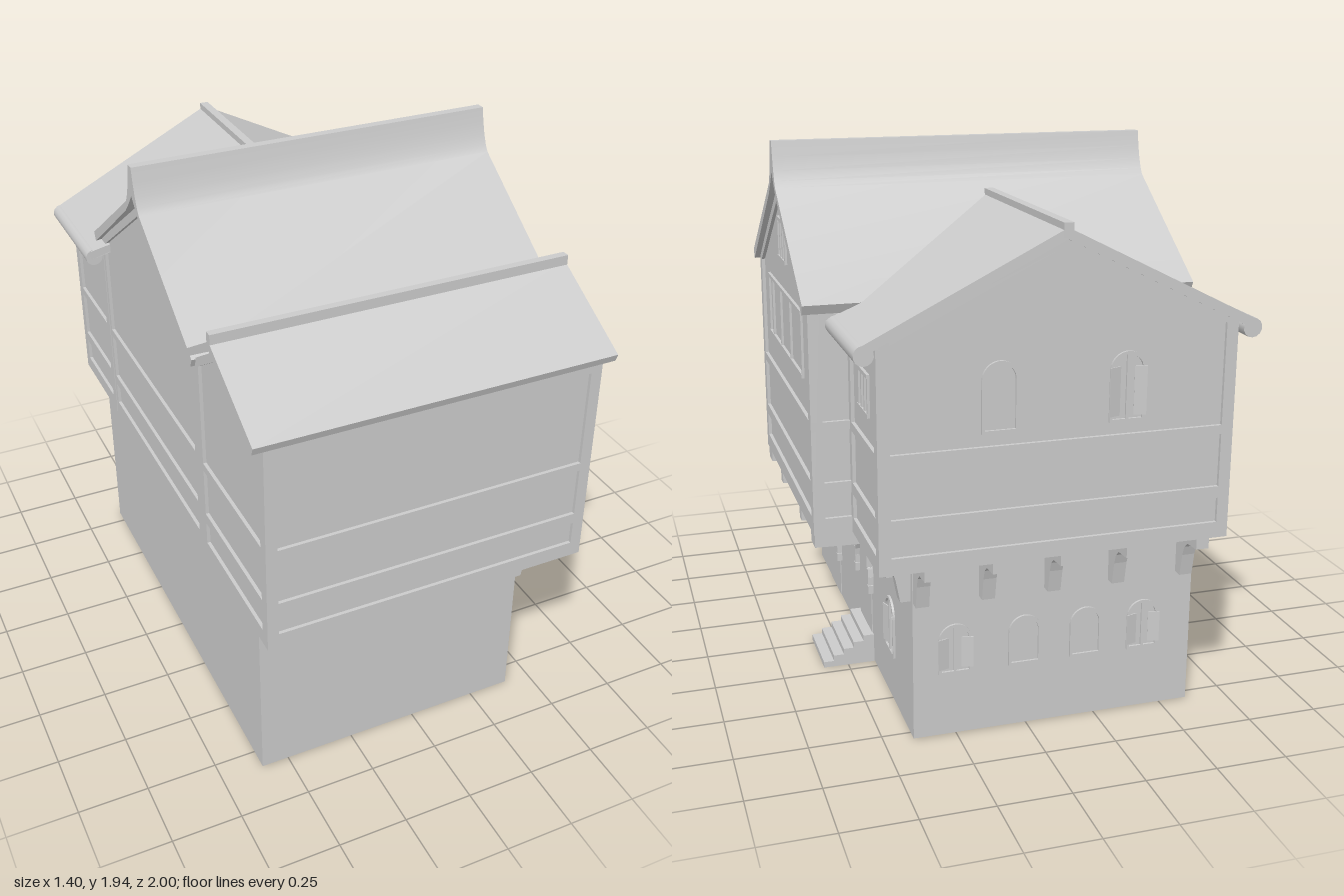
import * as THREE from 'three';
import { toCreasedNormals } from 'three/addons/utils/BufferGeometryUtils.js';

const mat = new THREE.MeshStandardMaterial({ color: 0xcccccc });
const openMat = new THREE.MeshStandardMaterial({ color: 0xcccccc, side: THREE.DoubleSide });

function add(parent, name, geo, material = mat) {
  const m = new THREE.Mesh(geo, material);
  m.name = name;
  parent.add(m);
  return m;
}

function group(parent, name) {
  const g = new THREE.Group();
  g.name = name;
  parent.add(g);
  return g;
}

// box given by its limits
function box(parent, name, x0, x1, y0, y1, z0, z1) {
  const m = add(parent, name, new THREE.BoxGeometry(x1 - x0, y1 - y0, z1 - z0));
  m.position.set((x0 + x1) / 2, (y0 + y1) / 2, (z0 + z1) / 2);
  return m;
}

// outline extruded from a to b; along 'x' its points are (z, y), along 'z' they are (x, y)
function prism(axis, pts, a, b) {
  const s = new THREE.Shape(pts.map(([u, y]) => new THREE.Vector2(axis === 'x' ? -u : u, y)));
  const g = new THREE.ExtrudeGeometry(s, { depth: b - a, bevelEnabled: false });
  g.translate(0, 0, a);
  if (axis === 'x') g.rotateY(Math.PI / 2);
  return g;
}

// mirrored roof section: upper and lower lines as [distance from ridge, y], eave to ridge
function roofSection(c, upper, lower) {
  const mir = (l, s) => l.map(([d, y]) => [c + s * d, y]);
  return [...mir(upper, 1), ...mir(upper, -1).reverse(), ...mir(lower, -1), ...mir(lower, 1).reverse()];
}

// timber-framed storey with gable ends
function storey(parent, name, axis, [x0, x1, z0, z1], eave, peak, mid) {
  const g = group(parent, name);
  const t = 0.012, p = 0.04;
  const [u0, u1, a, b] = axis === 'x' ? [z0, z1, x0, x1] : [x0, x1, z0, z1];
  const y0 = 0.7;
  add(g, 'wallInfill', prism(axis, [[u0 + t, y0], [u1 - t, y0], [u1 - t, eave], [mid, peak], [u0 + t, eave]], a + t, b - t));
  for (const [r0, r1] of [[0.69, 0.745], [0.83, 0.87], [1.05, 1.08]]) box(g, 'rail', x0, x1, r0, r1, z0, z1);
  for (const x of [x0, x1 - p]) for (const z of [z0, z1 - p]) box(g, 'cornerPost', x, x + p, 0.69, eave, z, z + p);
  const w = 0.035;
  add(g, 'gableRafters', prism(axis, [[u0, eave - w], [mid, peak - w], [u1, eave - w], [u1, eave], [mid, peak], [u0, eave]], a, b));
}

// framed window; bars are fractions of the width
function paneWindow(parent, w, h, bars) {
  const g = group(parent, 'window');
  const f = 0.013, d = 0.008;
  box(g, 'sill', -w / 2, w / 2, -h / 2, -h / 2 + f, -0.02, d);
  box(g, 'head', -w / 2, w / 2, h / 2 - f, h / 2, -0.02, d);
  for (const k of [0, ...bars, 1]) {
    const x = (k - 0.5) * (w - f);
    box(g, 'bar', x - f / 2, x + f / 2, -h / 2, h / 2, -0.02, d - 0.002);
  }
  return g;
}

function archShape(w, h) {
  const s = new THREE.Shape();
  s.moveTo(-w / 2, 0);
  s.lineTo(w / 2, 0);
  s.absarc(0, h - w / 2, w / 2, 0, Math.PI);
  s.closePath();
  return s;
}

function archPanel(w, h, depth) {
  return new THREE.ExtrudeGeometry(archShape(w, h), { depth, bevelEnabled: false, curveSegments: 10 });
}

// round-headed window, with a central bar and leaves ajar when shuttered
function archWindow(parent, w, h, shuttered) {
  const g = group(parent, 'archedWindow');
  const s = archShape(w, h);
  s.holes.push(new THREE.Path(archShape(w - 0.02, h - 0.02).getPoints(10).map(p => p.setY(p.y + 0.01))));
  add(g, 'windowFrame', new THREE.ExtrudeGeometry(s, { depth: 0.01, bevelEnabled: false, curveSegments: 10 }));
  if (shuttered) {
    box(g, 'meetingBar', -0.005, 0.005, 0.01, h - 0.01, 0, 0.009);
    for (const side of [-1, 1]) {
      const leaf = box(g, 'shutter', -0.02, 0.02, 0.02, h - 0.05, -0.002, 0.002);
      leaf.position.x = side * w * 0.36;
      leaf.position.z = 0.008;
      leaf.rotation.y = side * -0.3;
    }
  }
  return g;
}

// door with a ring of stones around its head; local z is outward
function stoneDoor(parent, doorH, springY, jambY, r) {
  const g = group(parent, 'archedDoor');
  add(g, 'doorLeaf', archPanel(2 * r - 0.03, doorH, 0.003)).position.y = springY + r - 0.015 - doorH;
  const n = 11;
  for (let i = 0; i < n; i++) {
    const a = Math.PI * (i + 0.5) / n;
    const m = add(g, 'archStone', new THREE.BoxGeometry(0.024, Math.PI * r / n * 0.93, 0.04));
    m.position.set(Math.cos(a) * r, springY + Math.sin(a) * r, 0);
    m.rotation.z = a;
  }
  for (const s of [-1, 1]) for (let y = jambY; y < springY - 0.01; y += 0.035)
    box(g, 'jambStone', s * r - 0.012, s * r + 0.012, y, y + 0.032, -0.02, 0.02);
  return g;
}

// curved corbel reaching outward along local z
function bracket(parent, w, reach) {
  const pts = [[0, 0.5], [0.035, 0.5], [0.05, 0.58], [0.062, 0.615], [0.085, 0.635], [reach, 0.64], [reach, 0.695], [0, 0.695]];
  return add(parent, 'bracket', prism('x', pts, -w / 2, w / 2));
}

const onRight = (o, x, y, z) => { o.position.set(x, y, z); o.rotation.y = Math.PI / 2; };
const onBack = (o, x, y, z) => { o.position.set(x, y, z); o.rotation.y = Math.PI; };

export function createModel() {
  const house = new THREE.Group();
  house.name = 'house';

  // ground floor: four walls, open below and above
  const walls = new THREE.BoxGeometry(1.0, 0.69, 1.63);
  const idx = Array.from(walls.index.array);
  walls.setIndex([...idx.slice(0, 12), ...idx.slice(24)]);
  add(house, 'groundFloorWalls', walls, openMat).position.set(-0.1, 0.35, 0.015);

  // jettied upper storeys
  storey(house, 'frontStorey', 'x', [-0.63, 0.55, 0.41, 0.98], 1.465, 1.635, 0.67);
  storey(house, 'mainStorey', 'x', [-0.628, 0.68, -0.59, 0.41], 1.455, 1.79, -0.09);
  storey(house, 'backStorey', 'z', [-0.63, 0.55, -0.98, -0.57], 1.435, 1.725, -0.04);

  // roofs
  const frontRoof = roofSection(0.67, [[0.33, 1.49], [0, 1.672]], [[0.32, 1.463], [0, 1.638]]);
  frontRoof.forEach(p => { p[0] = Math.max(p[0], 0.385); });
  add(house, 'frontRoof', prism('x', frontRoof, -0.67, 0.59));
  box(house, 'frontRidge', -0.67, 0.59, 1.64, 1.7, 0.655, 0.682);

  const mainRoof = roofSection(-0.09,
    [[0.525, 1.475], [0.068, 1.785], [0.054, 1.807], [0.04, 1.84], [0.027, 1.885], [0.016, 1.938]],
    [[0.51, 1.443], [0.08, 1.745], [0.035, 1.79], [0.001, 1.83]]);
  add(house, 'mainRoof', toCreasedNormals(prism('x', mainRoof, -0.645, 0.7), 0.5));

  const backRoof = prism('z', roofSection(-0.04, [[0.65, 1.425], [0, 1.75]], [[0.64, 1.395], [0, 1.715]]), -1, 0);
  const pos = backRoof.attributes.position;
  for (let i = 0; i < pos.count; i++) // inner end tapers into the main roof
    if (pos.getZ(i) > -0.5) pos.setZ(i, -0.21 - 0.34 * Math.min(1, Math.abs(pos.getX(i) + 0.04) / 0.64));
  backRoof.computeVertexNormals();
  add(house, 'backRoof', backRoof);
  box(house, 'backRidge', -0.058, -0.026, 1.72, 1.765, -1, -0.21);
  for (const x of [-0.67, 0.59]) {
    const roll = add(house, 'eaveRoll', new THREE.CylinderGeometry(0.032, 0.032, 0.45, 14));
    roll.rotation.x = Math.PI / 2;
    roll.position.set(x, 1.402, -0.775);
  }

  // timber windows: [wall x, y, z, width, height, bars]
  const third = [1 / 3, 2 / 3];
  for (const [x, y, z, w, h, bars] of [
    [0.54, 1.285, 0.71, 0.28, 0.29, third],
    [0.67, 1.305, -0.095, 0.68, 0.23, [0.12, 0.38, 0.675]],
    [0.67, 1.595, -0.085, 0.15, 0.15, third],
    [0.54, 1.23, -0.77, 0.14, 0.14, third],
  ]) onRight(paneWindow(house, w, h, bars), x, y, z);

  // round-headed windows
  onRight(archWindow(house, 0.125, 0.21, true), 0.398, 0.18, -0.49);
  [0.255, 0.01, -0.21, -0.42].forEach((x, i) =>
    onBack(archWindow(house, 0.115, 0.18, i % 3 === 0), x, 0.23, -0.798));
  onBack(archWindow(house, 0.12, 0.23, false), 0.16, 1.12, -0.966);
  onBack(archWindow(house, 0.12, 0.23, true), -0.26, 1.12, -0.966);

  // doors and steps
  onRight(stoneDoor(house, 0.33, 0.24, 0.17, 0.112), 0.4, 0, 0.49);
  onRight(stoneDoor(house, 0.34, 0.345, 0.28, 0.112), 0.4, 0, -0.095);
  const steps = group(house, 'steps');
  for (let i = 0; i < 5; i++)
    box(steps, 'step', 0.4, 0.44 + i * 0.038, Math.max(0, 0.088 - i * 0.022), 0.11 - i * 0.022, -0.21, 0.03);

  // brackets under the overhangs: [z, width, reach]
  for (const [z, w, reach] of [[0.79, 0.045, 0.145], [0.375, 0.07, 0.275], [0.1, 0.045, 0.275],
    [-0.3, 0.04, 0.275], [-0.54, 0.07, 0.275], [-0.755, 0.045, 0.145]])
    onRight(bracket(house, w, reach), 0.4, 0, z);
  for (const x of [0.375, 0.15, -0.08, -0.31, -0.56]) onBack(bracket(house, 0.045, 0.15), x, 0, -0.8);

  // lamp arms
  for (const z of [0.73, 0.22, -0.41]) {
    const lamp = group(house, 'lampArm');
    box(lamp, 'arm', 0.4, 0.595, 0.612, 0.624, z - 0.006, z + 0.006);
    const cone = add(lamp, 'lamp', new THREE.ConeGeometry(0.011, 0.032, 8));
    cone.rotation.x = Math.PI;
    cone.position.set(0.585, 0.6, z);
  }
  return house;
}
